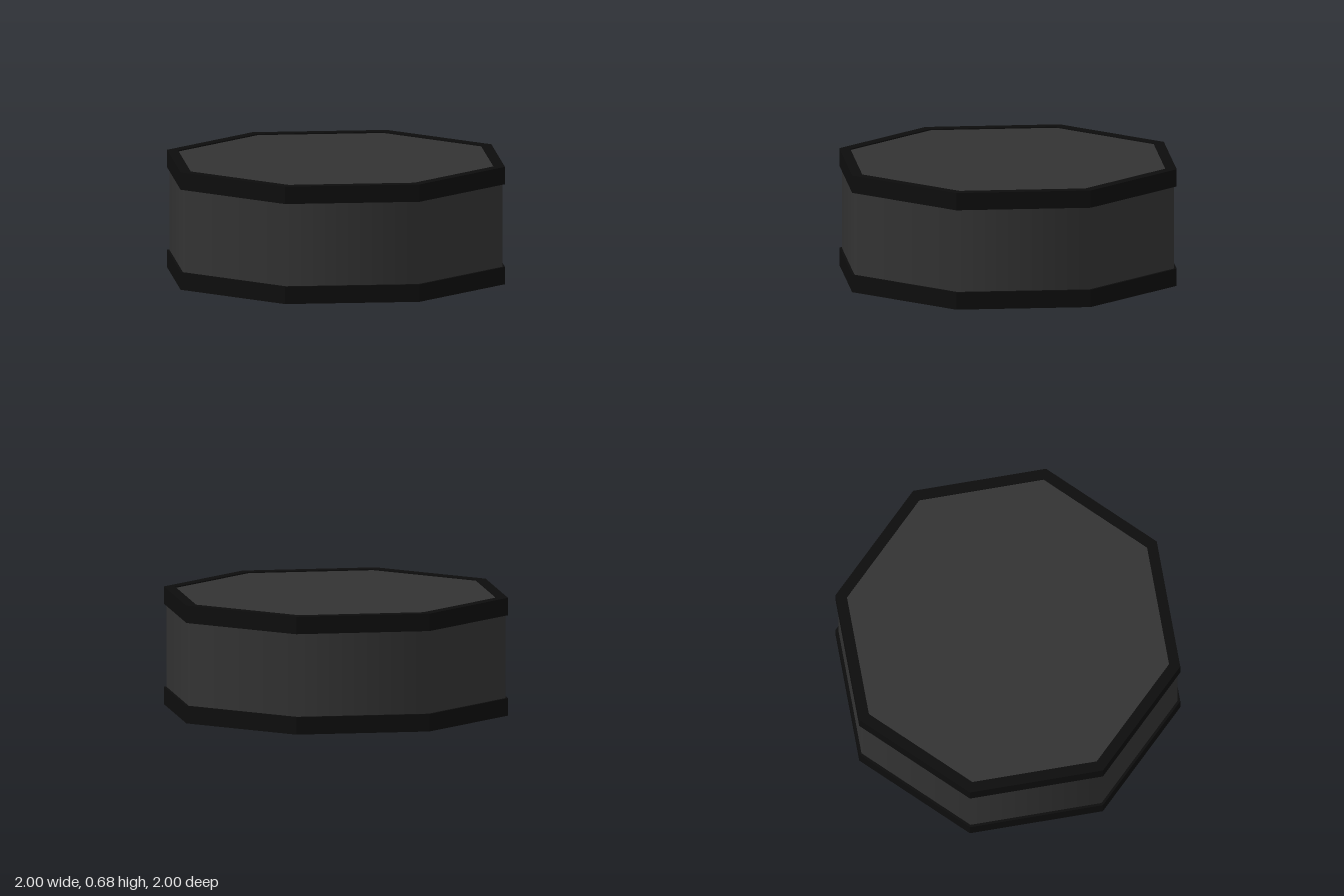
import * as THREE from 'three';

const SIDES = 8;
const HEIGHT = 0.675;
const RIM_HEIGHT = 0.1;
const RECESS = 0.007;

export function createModel() {
  const model = new THREE.Group();
  model.name = 'octagonalDrum';

  const bodyMaterial = new THREE.MeshStandardMaterial({ color: 0x333333 });
  const rimMaterial = new THREE.MeshStandardMaterial({ color: 0x0d0d0d, flatShading: true });

  // Smooth-shaded core; its end caps sit just below the rim edges
  const body = new THREE.Mesh(
    new THREE.CylinderGeometry(0.985, 0.985, HEIGHT - 2 * RECESS, SIDES),
    bodyMaterial
  );
  body.name = 'body';
  body.position.y = HEIGHT / 2;
  model.add(body);

  // Closed rectangular ring section, shared by both rims
  const section = [
    [0.935, 0], [1, 0], [1, RIM_HEIGHT], [0.935, RIM_HEIGHT], [0.935, 0],
  ].map(([r, y]) => new THREE.Vector2(r, y));
  const rimGeometry = new THREE.LatheGeometry(section, SIDES);

  for (const [name, y] of [['bottomRim', 0], ['topRim', HEIGHT - RIM_HEIGHT]]) {
    const rim = new THREE.Mesh(rimGeometry, rimMaterial);
    rim.name = name;
    rim.position.y = y;
    model.add(rim);
  }

  return model;
}
